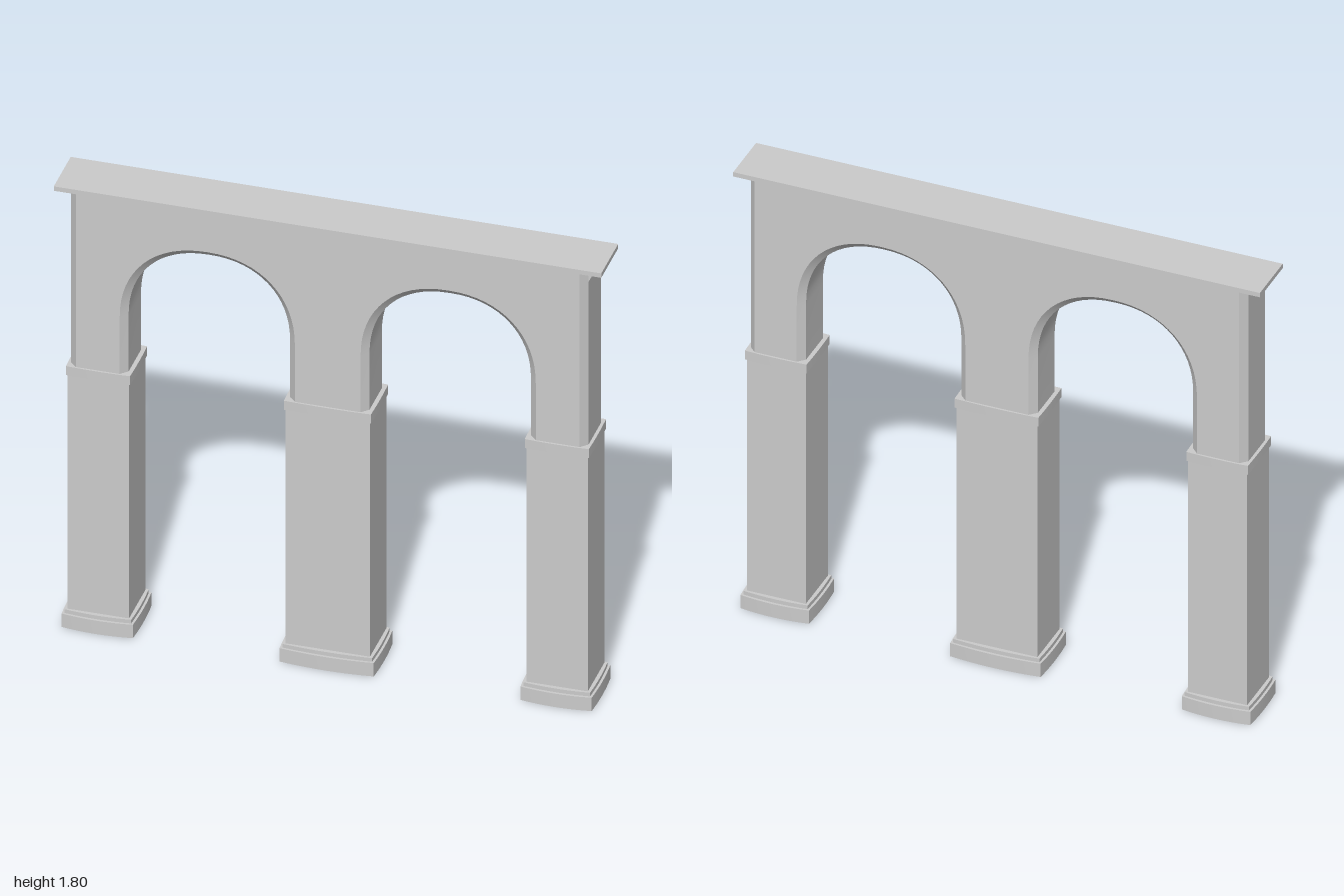
import * as THREE from 'three';
import { toCreasedNormals } from 'three/addons/utils/BufferGeometryUtils.js';

const material = new THREE.MeshStandardMaterial({ color: 0xcccccc });

function addMesh(parent, name, geometry) {
  const mesh = new THREE.Mesh(geometry, material);
  mesh.name = name;
  parent.add(mesh);
  return mesh;
}

// Block whose four sides bulge slightly outwards in plan
function bowedBlock(halfX, halfZ, y0, y1, bowX, bowZ) {
  const x = halfX - bowX, z = halfZ - bowZ;
  const plan = new THREE.Shape();
  plan.moveTo(-x, -z);
  plan.quadraticCurveTo(0, -z - 2 * bowZ, x, -z);
  plan.quadraticCurveTo(x + 2 * bowX, 0, x, z);
  plan.quadraticCurveTo(0, z + 2 * bowZ, -x, z);
  plan.quadraticCurveTo(-x - 2 * bowX, 0, -x, -z);
  const geometry = new THREE.ExtrudeGeometry(plan, { depth: y1 - y0, bevelEnabled: false, curveSegments: 8 });
  geometry.rotateX(-Math.PI / 2).translate(0, y0, 0);
  return toCreasedNormals(geometry, 0.5);
}

// Wall with two arched openings and chamfered vertical and arch edges
function arcadeGeometry() {
  const top = 1.785, bottom = 1.05, spring = 1.3;
  const shape = new THREE.Shape();
  shape.moveTo(-0.92, bottom);
  for (const cx of [-0.44, 0.44]) {
    shape.lineTo(cx - 0.32, bottom);
    const n = 32;
    for (let i = 0; i <= n; i++) {
      const a = Math.PI * (1 - i / n);
      const c = Math.cos(a), s = Math.max(0, Math.sin(a));
      const e = 2 / 2.2;
      shape.lineTo(cx + 0.32 * Math.sign(c) * Math.abs(c) ** e, spring + 0.328 * s ** e);
    }
    shape.lineTo(cx + 0.32, bottom);
  }
  shape.lineTo(0.92, bottom);
  shape.lineTo(0.92, top);
  shape.lineTo(-0.92, top);
  const geometry = new THREE.ExtrudeGeometry(shape, {
    depth: 0.15, bevelThickness: 0.025, bevelSize: 0.025, bevelSegments: 1,
  });
  geometry.translate(0, 0, -0.075);
  // Keep the chamfer off the top and bottom edges
  const p = geometry.attributes.position;
  for (let i = 0; i < p.count; i++) p.setY(i, THREE.MathUtils.clamp(p.getY(i), bottom, top));
  return toCreasedNormals(geometry, 0.5);
}

// Small corner wedge under the slab
function wedgeGeometry() {
  const a = [0.94, 1.73, 0.075], b = [0.94, 1.783, 0.075];
  const c = [0.967, 1.783, 0.075], d = [0.94, 1.783, 0.01];
  const geometry = new THREE.BufferGeometry();
  geometry.setAttribute('position', new THREE.Float32BufferAttribute(
    [a, c, b, a, d, c, a, b, d, b, c, d].flat(), 3));
  geometry.computeVertexNormals();
  return geometry;
}

export function createModel() {
  const model = new THREE.Group();
  model.name = 'doubleArchArcade';

  // Three piers: shaft, stepped base and capital band
  const piers = [['rightPier', -0.838, 0.112], ['centrePier', 0, 0.154], ['leftPier', 0.838, 0.112]];
  for (const [name, x, half] of piers) {
    const pier = new THREE.Group();
    pier.name = name;
    pier.position.x = x;
    const shaft = addMesh(pier, 'shaft', new THREE.BoxGeometry(half * 2, 1.01, 0.198));
    shaft.position.y = 0.545;
    addMesh(pier, 'basePlinth', bowedBlock(half + 0.023, 0.124, 0, 0.055, 0.005, 0.011));
    addMesh(pier, 'baseStep', bowedBlock(half + 0.014, 0.114, 0.05, 0.07, 0.004, 0.008));
    addMesh(pier, 'capital', bowedBlock(half + 0.007, 0.108, 1.033, 1.07, 0.002, 0.004));
    model.add(pier);
  }

  // Arched wall and flat slab on top
  addMesh(model, 'archedWall', arcadeGeometry());
  const slab = addMesh(model, 'topSlab', new THREE.BoxGeometry(2, 0.018, 0.205));
  slab.position.y = 1.791;
  addMesh(model, 'slabWedge', wedgeGeometry());
  return model;
}
